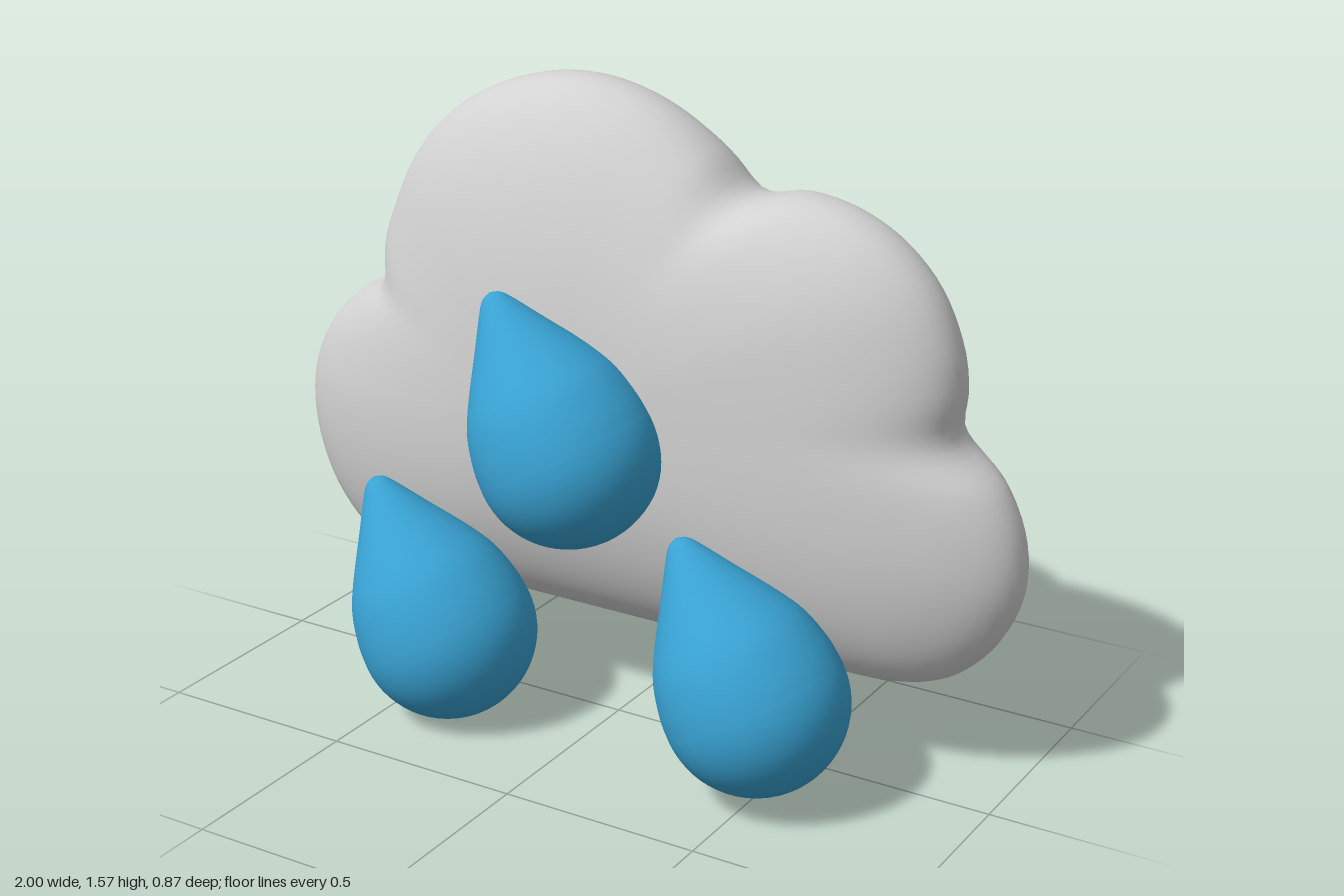
import * as THREE from 'three';
import { mergeVertices } from 'three/addons/utils/BufferGeometryUtils.js';

const cloudGrey = new THREE.MeshStandardMaterial({ name: 'cloudGrey', color: 0xd2d2d2 });
const rainBlue = new THREE.MeshStandardMaterial({ name: 'rainBlue', color: 0x39a3d4 });

// Cloud outline, counter-clockwise from the top of the big lobe
const OUTLINE = [
  [-0.2, 1.57], [-0.36, 1.54], [-0.52, 1.46], [-0.64, 1.34], [-0.71, 1.2], [-0.74, 1.1], [-0.735, 1.0],
  [-0.82, 0.95], [-0.92, 0.86], [-0.98, 0.75], [-1, 0.64], [-0.98, 0.5], [-0.92, 0.37], [-0.82, 0.27],
  [-0.7, 0.225], [-0.5, 0.22], [0, 0.22], [0.5, 0.22], [0.72, 0.22], [0.84, 0.26], [0.94, 0.36],
  [0.995, 0.5], [0.985, 0.63], [0.93, 0.74], [0.82, 0.84], [0.825, 0.95], [0.81, 1.05], [0.75, 1.18],
  [0.65, 1.28], [0.53, 1.34], [0.4, 1.36], [0.27, 1.34], [0.18, 1.43], [0.06, 1.51], [-0.06, 1.555],
];

// Inflates the outline; the creases between lobes fade towards the middle
function cloudGeometry() {
  const n = 180, rings = 48, halfDepth = 0.293, power = 2 / 2.15;
  const cx = -0.08, cy = 0.8, cz = -0.14;
  const curve = new THREE.CatmullRomCurve3(
    OUTLINE.map(([x, y]) => new THREE.Vector3(x - cx, y - cy, 0)), true, 'centripetal');
  const rim = curve.getSpacedPoints(n).slice(0, n);
  const soft = rim.map((_, i) => {
    const sum = new THREE.Vector3();
    for (let k = -11; k <= 11; k++) sum.add(rim[(i + k + n) % n]);
    return sum.divideScalar(23);
  });

  const positions = [], index = [];
  const p = new THREE.Vector3();
  for (let j = 0; j <= rings; j++) {
    const a = Math.PI * j / rings;
    const pole = j === 0 || j === rings;
    const s = pole ? 0 : Math.pow(Math.sin(a), power);
    const z = Math.sign(Math.cos(a)) * Math.pow(Math.abs(Math.cos(a)), power) * halfDepth;
    for (let i = 0; i < n; i++) {
      p.lerpVectors(soft[i], rim[i], s ** 4).multiplyScalar(s);
      positions.push(cx + p.x, cy + p.y, cz + z);
      if (j === rings) continue;
      const i2 = (i + 1) % n, r0 = j * n, r1 = r0 + n;
      if (j > 0) index.push(r0 + i, r1 + i, r0 + i2);
      if (j < rings - 1) index.push(r0 + i2, r1 + i, r1 + i2);
      else if (j === rings - 1) index.push(r0 + i2, r1 + i, r1 + i2);
    }
  }
  const g = new THREE.BufferGeometry();
  g.setAttribute('position', new THREE.Float32BufferAttribute(positions, 3));
  g.setIndex(index);
  const merged = mergeVertices(g, 1e-5);
  merged.computeVertexNormals();
  return merged;
}

// Teardrop: round below, tapering to a small blunt tip
function dropGeometry() {
  const r = 0.22, profile = [];
  for (let i = 0; i <= 16; i++) {
    const a = (i / 16) * Math.PI / 2;
    profile.push(new THREE.Vector2(r * Math.sin(a), -r * Math.cos(a)));
  }
  const taper = new THREE.SplineCurve([
    [0.22, 0], [0.215, 0.06], [0.194, 0.14], [0.157, 0.21], [0.092, 0.31], [0.047, 0.38], [0.024, 0.41], [0, 0.42],
  ].map(([x, y]) => new THREE.Vector2(x, y)));
  profile.push(...taper.getPoints(28).slice(1));
  profile[0].x = 0;
  profile[profile.length - 1].x = 0;
  return new THREE.LatheGeometry(profile, 48);
}

export function createModel() {
  const model = new THREE.Group();
  model.name = 'rainCloud';

  const cloud = new THREE.Mesh(cloudGeometry(), cloudGrey);
  cloud.name = 'cloud';
  model.add(cloud);

  // Three slanted raindrops in front of the cloud
  const drop = dropGeometry();
  const places = { middleDrop: [-0.005, 0.755], rightDrop: [-0.362, 0.22], leftDrop: [0.5, 0.25] };
  for (const [name, [x, y]] of Object.entries(places)) {
    const mesh = new THREE.Mesh(drop, rainBlue);
    mesh.name = name;
    mesh.position.set(x, y, 0.215);
    mesh.rotation.z = 0.535;
    model.add(mesh);
  }
  return model;
}
